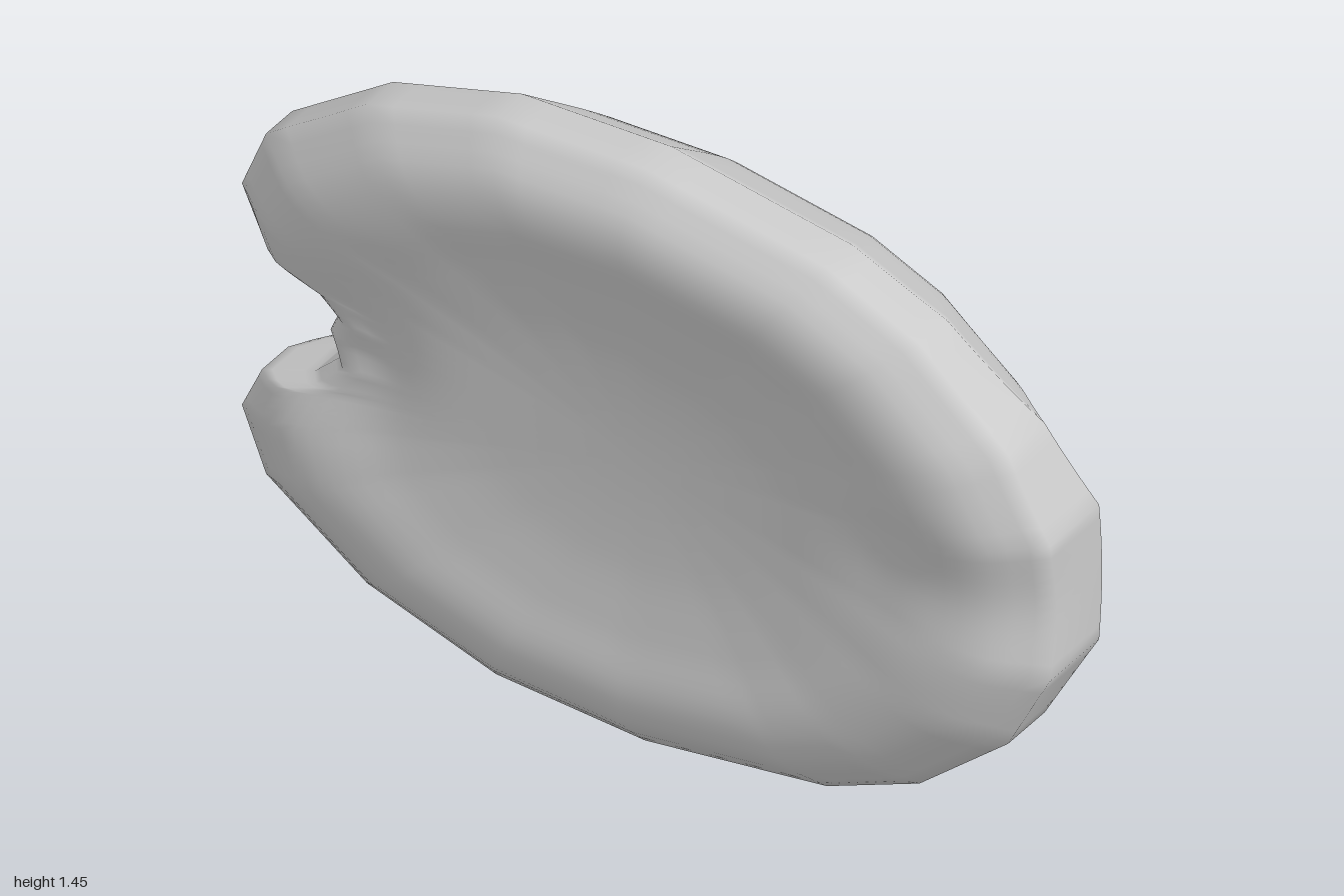
import * as THREE from 'three';

const CY = 0.7225; // height of the mirror line

// Upper half of the outline, from the +x end round to the notch (x, y above mirror line)
const HALF = [
  [1, 0], [1, 0.17], [0.9, 0.365], [0.68, 0.555], [0.45, 0.655], [0, 0.7225],
  [-0.37, 0.705], [-0.69, 0.605], [-0.94, 0.43], [-1, 0.28], [-0.95, 0.17],
  [-0.82, 0.122], [-0.755, 0.06], [-0.78, 0],
];

// Depth profiles: radial fraction from the centre, z
const FRONT = [[0, 0.24], [0.35, 0.25], [0.58, 0.275], [0.75, 0.3], [0.88, 0.282], [1, 0.205]];
const BACK = [[0, -0.265], [0.35, -0.265], [0.55, -0.23], [0.7, -0.16], [0.8, -0.085], [1, 0.11]];

// Smooth (cubic Hermite) reading of a profile
function sample(profile, t) {
  let i = 0;
  while (i < profile.length - 2 && t > profile[i + 1][0]) i++;
  const slope = (k) => {
    const a = profile[Math.max(k - 1, 0)], b = profile[Math.min(k + 1, profile.length - 1)];
    return k === 0 ? 0 : (b[1] - a[1]) / (b[0] - a[0]);
  };
  const [a, za] = profile[i], [b, zb] = profile[i + 1];
  const w = b - a, u = (t - a) / w, s = u * u * (3 - 2 * u);
  return za + (zb - za) * s + w * u * (1 - u) * (slope(i) * (1 - u) - slope(i + 1) * u);
}

const bump = (v, width) => Math.exp(-((v / width) ** 2));
const notch = (x, y) => bump(Math.hypot(x + 0.78, y), 0.2);

// Shallow dished front: the rim dips along the mirror line and into the notch
function frontZ(x, y, t) {
  const dip = 0.03 * bump(y, 0.14) * THREE.MathUtils.smoothstep(x, 0.4, 0.8);
  return sample(FRONT, t) - dip - 0.08 * notch(x, y) * (1 - t ** 8);
}

// Domed back: two lobes, two grooves that spread towards +x, and a ridge between
function backZ(x, y, t) {
  const spread = 0.145 + 0.075 * x;
  const fade = 1 - THREE.MathUtils.smoothstep(x, 0, 0.95);
  const groove = 0.07 * bump(Math.abs(y) - spread, 0.06) * fade * (1 - t ** 6);
  const ridge = 0.032 * bump(y, 0.11) * THREE.MathUtils.smoothstep(x, -0.6, 0) * (1 - t ** 6);
  const end = 0.1 * Math.max(0, x) ** 4 * t * t * bump(y, 0.5);
  return sample(BACK, t) + groove - ridge - end + 0.06 * notch(x, y) * (1 - t ** 8);
}

function bodyGeometry() {
  // Close the outline by mirroring, then subdivide every side
  const corners = [...HALF, ...HALF.slice(1, -1).reverse().map(([x, y]) => [x, -y])];
  const outline = [], SUB = 5;
  corners.forEach(([x, y], i) => {
    const [nx, ny] = corners[(i + 1) % corners.length];
    for (let k = 0; k < SUB; k++) outline.push([x + (nx - x) * k / SUB, y + (ny - y) * k / SUB]);
  });

  // Rings from the front centre out to the edge and back in to the rear centre
  const N = outline.length, R = 28, pos = [0, CY, frontZ(0, 0, 0)], index = [];
  const addRing = (t, depth) => outline.forEach(([x, y]) => {
    // Inside the notch the dome runs on as if unbroken, rounding off only at its edge
    const inNotch = x < 0 && Math.abs(y) < -0.28 * x;
    const whole = inNotch ? -x : 1;
    const e = THREE.MathUtils.lerp(t * whole, t, t ** 14);
    pos.push(x * t, CY + y * t, depth(x * t, y * t, e));
  });
  for (let r = 1; r <= R; r++) addRing(r / R, frontZ);
  for (let r = R; r >= 1; r--) addRing(r / R, backZ);
  pos.push(0, CY, backZ(0, 0, 0));

  const last = pos.length / 3 - 1, rings = 2 * R;
  for (let i = 0; i < N; i++) {
    const j = (i + 1) % N;
    index.push(0, 1 + i, 1 + j);
    for (let r = 0; r < rings - 1; r++) {
      const a = 1 + r * N, b = a + N;
      index.push(a + i, b + i, b + j, a + i, b + j, a + j);
    }
    const a = 1 + (rings - 1) * N;
    index.push(a + i, last, a + j);
  }
  const g = new THREE.BufferGeometry();
  g.setAttribute('position', new THREE.Float32BufferAttribute(pos, 3));
  g.setIndex(index);
  g.computeVertexNormals();
  return g;
}

export function createModel() {
  const group = new THREE.Group();
  const body = new THREE.Mesh(bodyGeometry(), new THREE.MeshStandardMaterial({ color: 0xcccccc }));
  body.name = 'lobedShell';
  group.add(body);
  return group;
}
